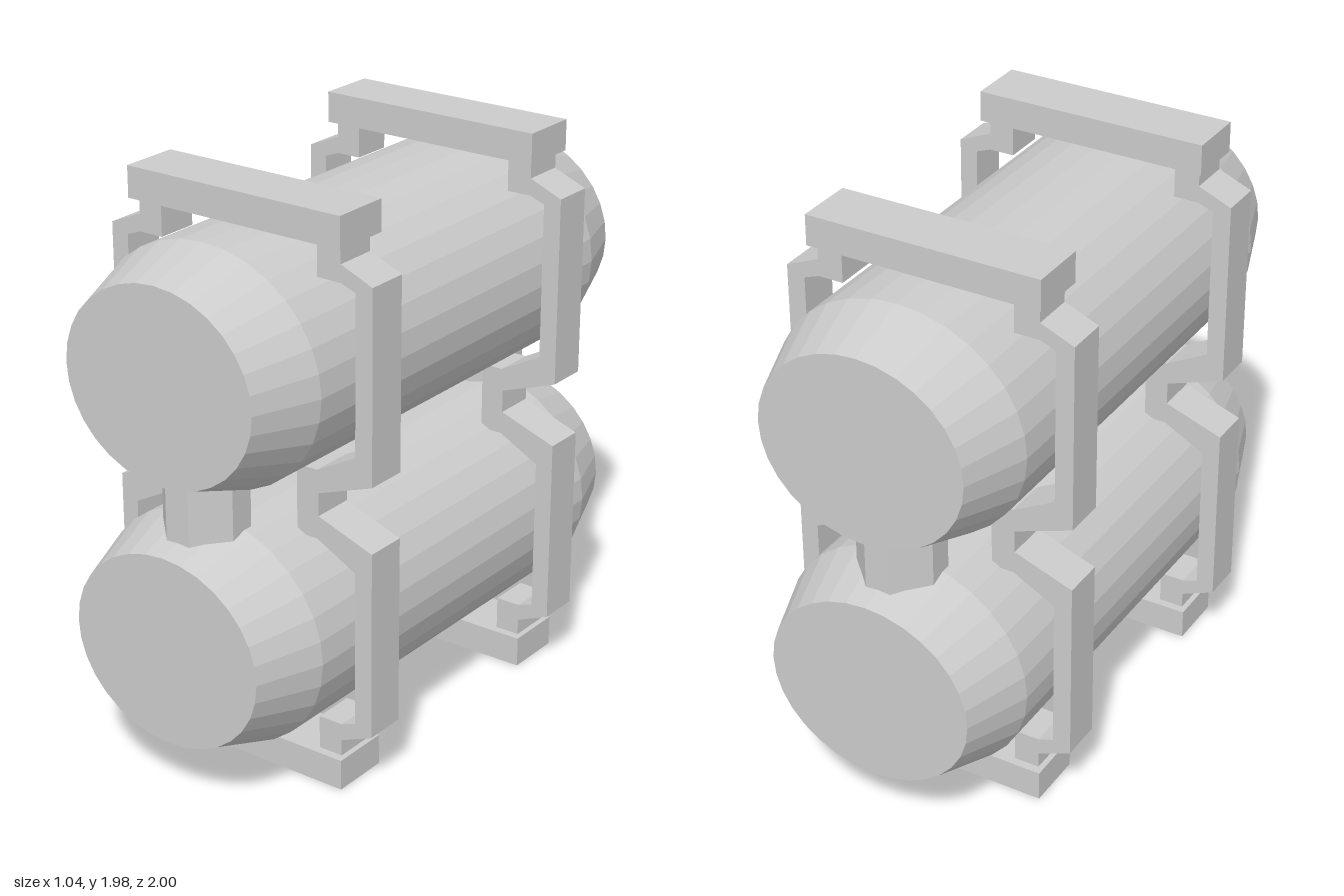
import * as THREE from 'three';

const MID = 0.99; // height of the horizontal symmetry plane

export function createModel() {
  const model = new THREE.Group();
  model.name = 'twinTankRack';
  const material = new THREE.MeshStandardMaterial({ color: 0xcccccc, flatShading: true });

  const add = (name, geometry, x, y, z) => {
    const mesh = new THREE.Mesh(geometry, material);
    mesh.name = name;
    mesh.position.set(x, y, z);
    model.add(mesh);
    return mesh;
  };

  // Prism along z from a list of outline points, centred on z = 0
  const prism = (points, depth) => {
    const shape = new THREE.Shape(points.map(([x, y]) => new THREE.Vector2(x, y)));
    return new THREE.ExtrudeGeometry(shape, { depth, bevelEnabled: false }).translate(0, 0, -depth / 2);
  };

  // Tanks: slightly flattened cylinders with tapered ends
  const profile = [[0, -1], [0.815, -1], [1, -0.77], [1, 0.77], [0.815, 1], [0, 1]];
  const tank = new THREE.LatheGeometry(profile.map(([r, h]) => new THREE.Vector2(r, h)), 32)
    .rotateX(Math.PI / 2)
    .scale(0.455, 0.407, 1);
  add('lowerTank', tank, 0, MID - 0.454, 0);
  add('upperTank', tank, 0, MID + 0.454, 0);

  // Connectors between the tanks: upright posts with chamfered corners
  const a = 0.145, b = 0.045;
  const post = prism([[a, -b], [a, b], [b, a], [-b, a], [-a, b], [-a, -b], [-b, -a], [b, -a]], 0.28)
    .rotateX(Math.PI / 2);

  // Side bracket: upper half of the outline, mirrored about MID
  const outer = [[0.31, 0.04], [0.52, 0.115], [0.52, 0.775], [0.4, 0.825], [0.4, 0.9]];
  const inner = [[0.31, 0.9], [0.31, 0.765], [0.4, 0.765], [0.455, 0.745], [0.455, 0.2], [0.305, 0.12], [0.225, 0.12]];
  const upper = [...outer, ...inner];
  const lower = upper.map(([x, y]) => [x, -y]).reverse();
  const bracket = prism([...upper, ...lower], 0.15);

  const bar = new THREE.BoxGeometry(0.84, 0.108, 0.21);

  for (const [end, s] of [['front', 1], ['back', -1]]) {
    add(end + 'Connector', post, 0, MID, s * 0.78);
    add(end + 'TopBar', bar, 0, 1.926, s * 0.525);
    add(end + 'BottomBar', bar, 0, 0.054, s * 0.525);
    add(end + 'LeftBracket', bracket, 0, MID, s * 0.525);
    // Half turn mirrors the symmetric bracket to the other side
    add(end + 'RightBracket', bracket, 0, MID, s * 0.525).rotation.y = Math.PI;
  }
  return model;
}
